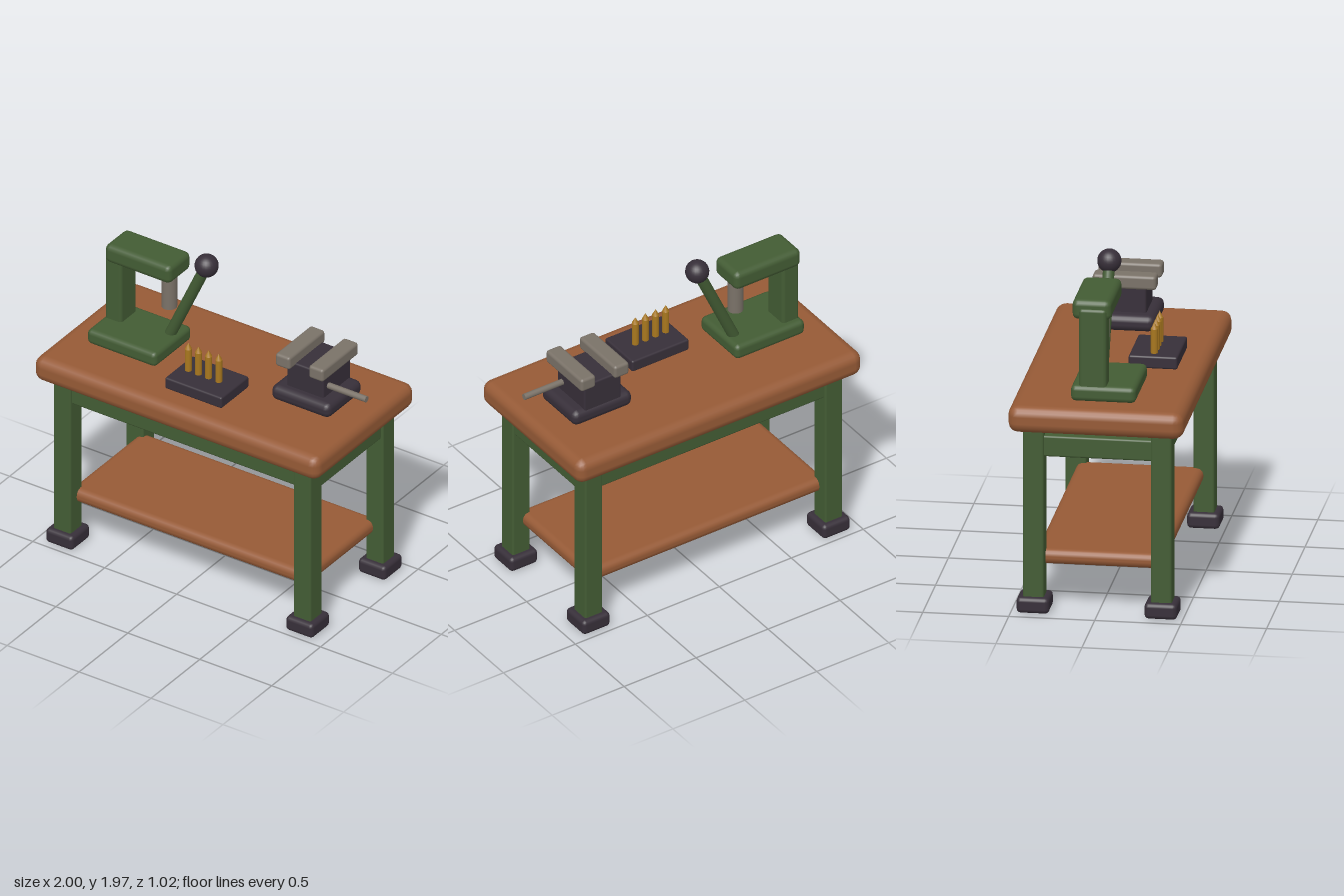
import * as THREE from 'three';
import { RoundedBoxGeometry } from 'three/addons/geometries/RoundedBoxGeometry.js';

const material = (name, color) => {
  const m = new THREE.MeshStandardMaterial({ color });
  m.name = name;
  return m;
};

export function createModel() {
  const wood = material('brown wood', 0x965a36);
  const green = material('green paint', 0x435c34);
  const dark = material('dark iron', 0x372f39);
  const steel = material('grey steel', 0x7a7268);
  const brass = material('brass', 0xa9781f);

  const model = new THREE.Group();
  model.name = 'workbench';
  const group = (name) => {
    const g = new THREE.Group();
    g.name = name;
    model.add(g);
    return g;
  };
  const add = (parent, name, geometry, mat) => {
    const mesh = new THREE.Mesh(geometry, mat);
    mesh.name = name;
    parent.add(mesh);
    return mesh;
  };
  // Rounded box given by its extents [min, max] on each axis
  const box = (parent, name, mat, x, y, z, radius) => {
    const g = new RoundedBoxGeometry(x[1] - x[0], y[1] - y[0], z[1] - z[0], 2, radius);
    g.translate((x[0] + x[1]) / 2, (y[0] + y[1]) / 2, (z[0] + z[1]) / 2);
    return add(parent, name, g, mat);
  };
  // Round rod between two points
  const rod = (parent, name, mat, a, b, radius, sides = 16) => {
    const from = new THREE.Vector3(...a), to = new THREE.Vector3(...b);
    const dir = to.clone().sub(from);
    const mesh = add(parent, name, new THREE.CylinderGeometry(radius, radius, dir.length(), sides), mat);
    mesh.position.copy(from).add(to).multiplyScalar(0.5);
    mesh.quaternion.setFromUnitVectors(new THREE.Vector3(0, 1, 0), dir.normalize());
    return mesh;
  };
  const around = (c, half) => [c - half, c + half];

  // Bench: top, shelf, legs, feet and aprons
  const bench = group('bench');
  const cx = -0.01, legX = 0.834, legZ = 0.372;
  box(bench, 'tabletop', wood, [-1, 0.98], [1.106, 1.266], [-0.511, 0.511], 0.06);
  box(bench, 'shelf', wood, around(cx, 0.825), [0.268, 0.358], around(0, 0.37), 0.04);
  for (const sx of [-1, 1]) {
    for (const sz of [-1, 1]) {
      const x = cx + sx * legX, z = sz * legZ;
      box(bench, 'leg', green, around(x, 0.061), [0.05, 1.12], around(z, 0.061), 0.012);
      box(bench, 'foot', dark, around(x, 0.095), [0, 0.094], around(z, 0.095), 0.025);
    }
    box(bench, 'sideApron', green, around(cx + sx * legX, 0.045), [0.942, 1.068], around(0, 0.35), 0.012);
    box(bench, 'longApron', green, around(cx, 0.82), [0.972, 1.096], around(sx * legZ, 0.045), 0.012);
  }

  // Lever press
  const press = group('press');
  box(press, 'pressBase', green, [-0.826, -0.345], [1.262, 1.358], [-0.168, 0.211], 0.03);
  box(press, 'column', green, [-0.813, -0.698], [1.3, 1.82], [-0.122, 0.04], 0.02);
  box(press, 'arm', green, [-0.803, -0.345], [1.749, 1.869], [-0.163, 0.064], 0.035);
  rod(press, 'ram', steel, [-0.42, 1.53, -0.045], [-0.42, 1.8, -0.045], 0.046);
  rod(press, 'lever', green, [-0.425, 1.315, -0.04], [-0.158, 1.903, -0.04], 0.034);
  add(press, 'knob', new THREE.SphereGeometry(0.07, 24, 16), dark).position.set(-0.158, 1.903, -0.04);

  // Block holding a row of pointed pins
  const holder = group('pinHolder');
  box(holder, 'block', dark, [-0.18, 0.215], [1.266, 1.341], [0.074, 0.358], 0.012);
  for (let i = 0; i < 4; i++) {
    const x = -0.112 + i * 0.0705, z = 0.215;
    rod(holder, 'pinBody', brass, [x, 1.33, z], [x, 1.487, z], 0.021, 10);
    add(holder, 'pinTip', new THREE.ConeGeometry(0.021, 0.04, 10), brass).position.set(x, 1.507, z);
  }

  // Vise
  const vise = group('vise');
  box(vise, 'viseBase', dark, [0.402, 0.812], [1.284, 1.381], [-0.215, 0.14], 0.04);
  box(vise, 'viseBody', dark, [0.479, 0.735], [1.34, 1.548], [-0.202, 0.08], 0.012);
  for (const x of [0.49, 0.722]) {
    box(vise, 'jaw', steel, around(x, 0.051), [1.53, 1.614], [-0.228, 0.142], 0.018);
  }
  rod(vise, 'handle', steel, [0.7, 1.441, 0.027], [1, 1.441, 0.027], 0.019, 12);

  return model;
}
